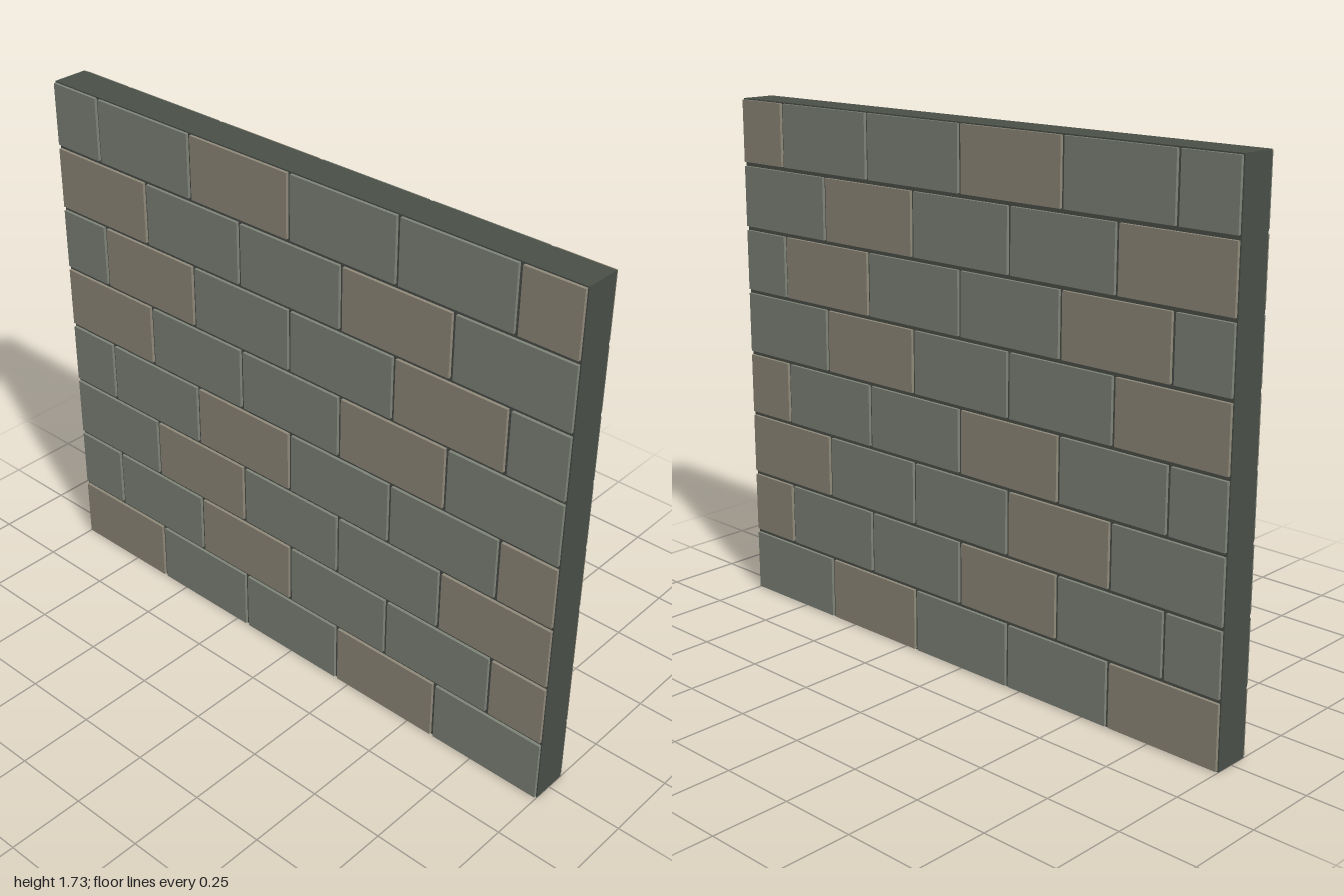
import * as THREE from 'three';

const WIDTH = 2, HEIGHT = 1.73, ROWS = 8;
const CORE_DEPTH = 0.12, WALL_DEPTH = 0.14;
const BRICK = 0.4, GAP = 0.014, EDGE = 0.004;

// In each row every third brick is tan, starting at this index
const TAN_START = [0, 2, 1, 2, 0, 1, 0, 2];

export function createModel() {
  const wall = new THREE.Group();
  wall.name = 'brickWall';

  const paint = (color) => {
    const m = new THREE.MeshStandardMaterial();
    m.color.set(color);
    return m;
  };
  const mortar = paint(0x4a4f48), grey = paint(0x7f8478), tan = paint(0x8f8a7a);

  const addBox = (parent, name, material, [x0, x1], [y0, y1], [z0, z1]) => {
    const mesh = new THREE.Mesh(new THREE.BoxGeometry(x1 - x0, y1 - y0, z1 - z0), material);
    mesh.position.set((x0 + x1) / 2, (y0 + y1) / 2, (z0 + z1) / 2);
    mesh.name = name;
    parent.add(mesh);
  };

  // Mortar slab, flush with the ends and the top
  addBox(wall, 'mortarCore', mortar,
    [-WIDTH / 2, WIDTH / 2], [0, HEIGHT], [-CORE_DEPTH / 2, CORE_DEPTH / 2]);

  // Shrink a cell by half a joint, or by a thin margin at the wall's border
  const inset = (a, b, min, max) => [
    a + (a <= min + 1e-6 ? EDGE : GAP / 2),
    b - (b >= max - 1e-6 ? EDGE : GAP / 2),
  ];

  // Brick faces in running bond, the same on both sides of the slab
  const pitch = HEIGHT / ROWS;
  for (const [side, z] of [
    ['front', [CORE_DEPTH / 2, WALL_DEPTH / 2]],
    ['back', [-WALL_DEPTH / 2, -CORE_DEPTH / 2]],
  ]) {
    const face = new THREE.Group();
    face.name = side + 'Bricks';
    for (let row = 0; row < ROWS; row++) {
      const shift = row % 2 ? BRICK / 2 : 0;
      const count = row % 2 ? 6 : 5;
      const y = inset(row * pitch, (row + 1) * pitch, 0, HEIGHT);
      for (let i = 0; i < count; i++) {
        const left = -WIDTH / 2 - shift + i * BRICK;
        const x = inset(Math.max(left, -WIDTH / 2), Math.min(left + BRICK, WIDTH / 2),
          -WIDTH / 2, WIDTH / 2);
        addBox(face, side + 'Brick', i % 3 === TAN_START[row] ? tan : grey, x, y, z);
      }
    }
    wall.add(face);
  }
  return wall;
}
